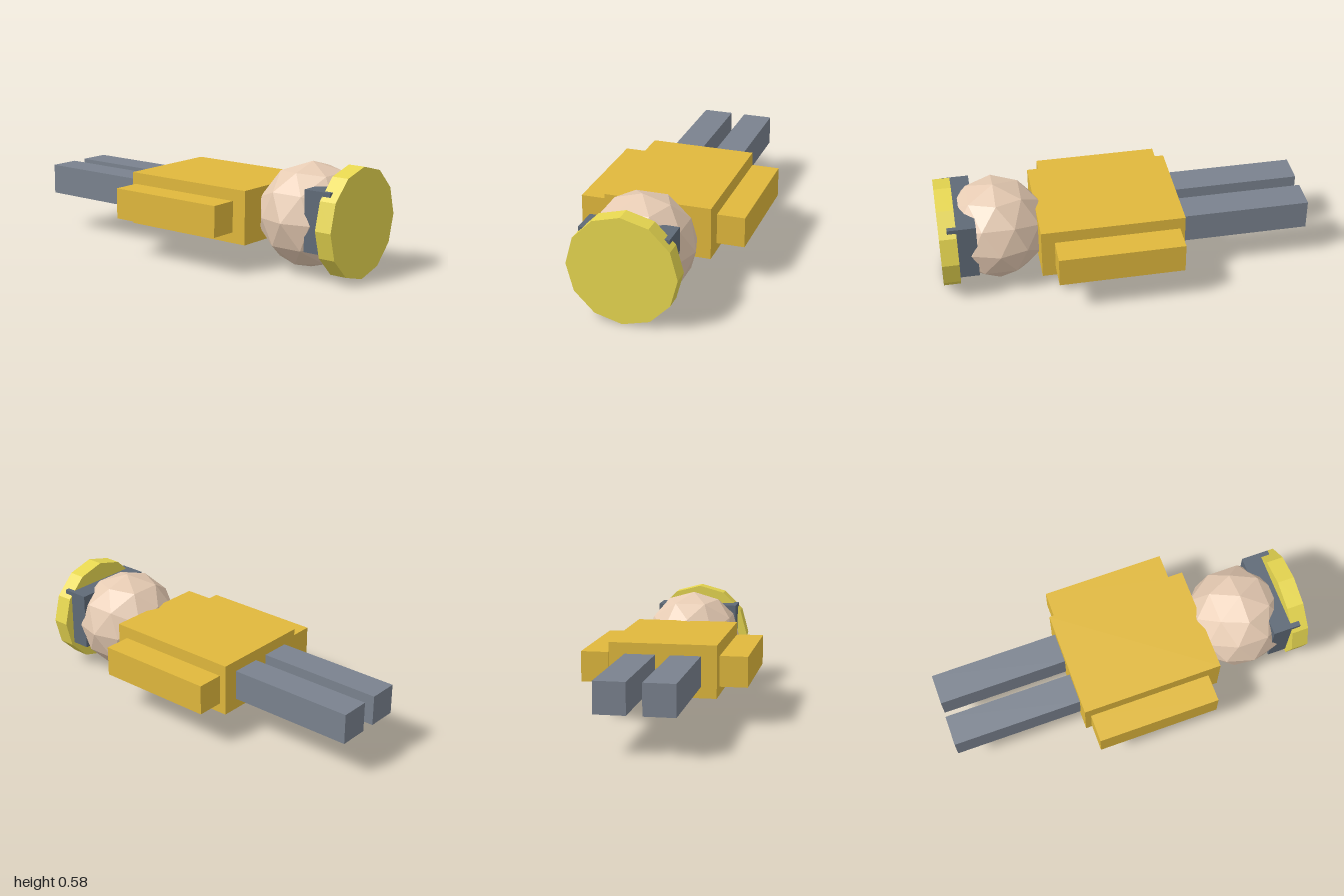
import * as THREE from 'three';

const CY = 0.2925; // height of the body axis

function material(color) {
  return new THREE.MeshStandardMaterial({ color, flatShading: true });
}

export function createModel() {
  const model = new THREE.Group();
  model.name = 'lyingFigure';

  const amber = material(0xe0b83c);
  const slate = material(0x5f6a77);
  const legGrey = material(0x7a828e);
  const skin = material(0xe6cbb3);
  const yellow = material(0xe6d650);

  function add(name, geometry, mat, x, y, z) {
    const mesh = new THREE.Mesh(geometry, mat);
    mesh.name = name;
    mesh.position.set(x, y, z);
    model.add(mesh);
    return mesh;
  }

  // Box given by its limits along each axis
  function box(name, mat, [x0, x1], [y0, y1], [z0, z1]) {
    return add(name, new THREE.BoxGeometry(x1 - x0, y1 - y0, z1 - z0), mat,
      (x0 + x1) / 2, (y0 + y1) / 2, (z0 + z1) / 2);
  }

  // Torso
  box('torso', amber, [-0.29, 0.29], [0.15, 0.435], [-0.297, 0.475]);

  // Arms and legs, mirrored
  for (const [side, s] of [['left', 1], ['right', -1]]) {
    const span = (a, b) => (s > 0 ? [a, b] : [-b, -a]);
    box(side + 'Arm', amber, span(0.30, 0.45), [0.21, 0.375], [-0.267, 0.405]);
    box(side + 'Leg', legGrey, span(0.04, 0.205), [0.21, 0.375], [-1, -0.297]);
  }

  // Faceted head
  add('head', new THREE.IcosahedronGeometry(0.28, 1), skin, 0, CY + 0.0025, 0.69);

  // Block between head and cap, with a thin bar along its upper edge
  box('headBlock', slate, [-0.235, 0.235], [0.16, 0.48], [0.805, 0.911]);
  box('headBar', slate, [-0.235, 0.235], [0.458, 0.48], [0.905, 0.956]);

  // Twelve-sided cap disc
  const cap = add('cap', new THREE.CylinderGeometry(0.29, 0.29, 0.092, 12), yellow, 0, CY, 0.954);
  cap.rotation.x = Math.PI / 2;

  return model;
}
